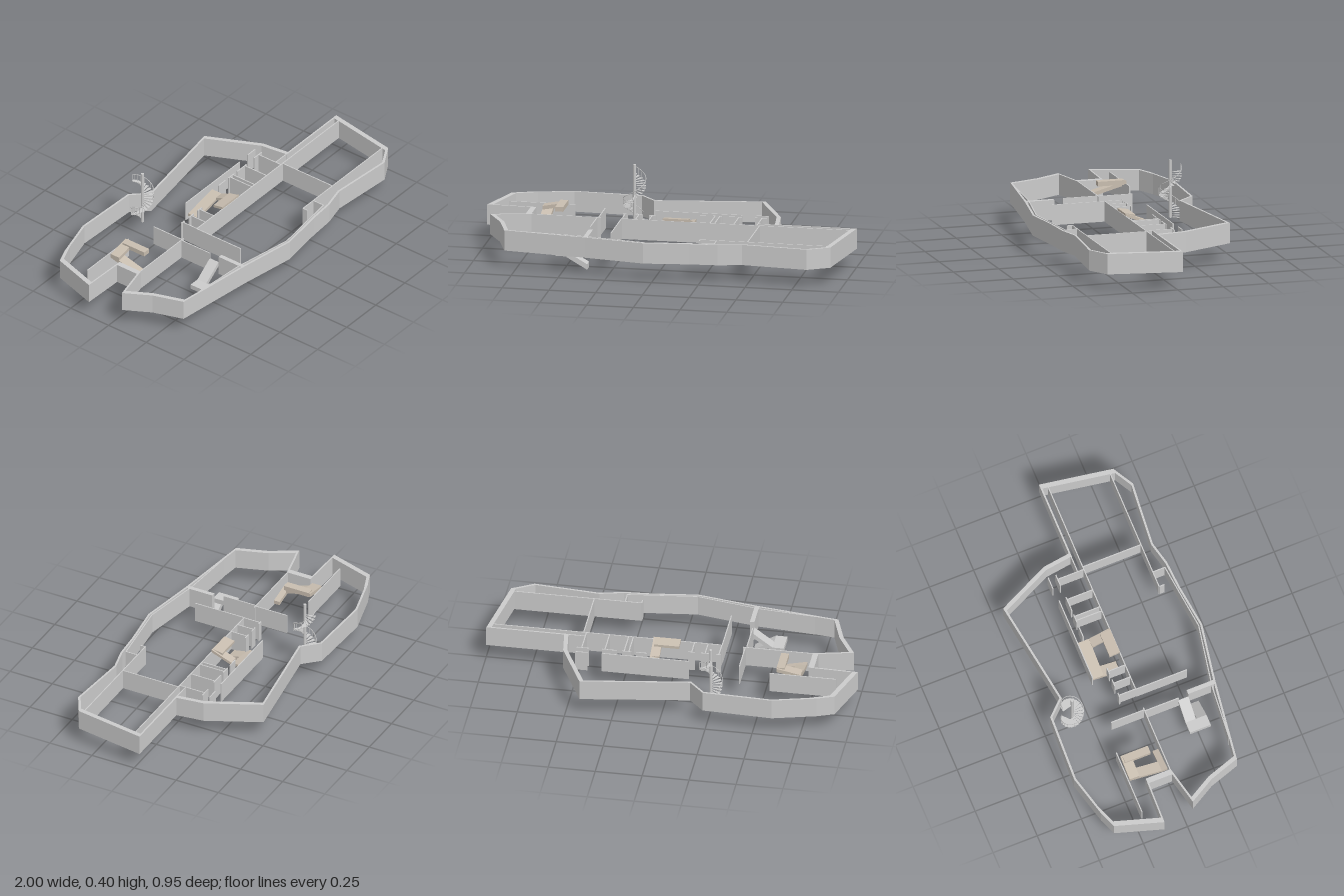
import * as THREE from 'three';

const grey = new THREE.MeshStandardMaterial({ color: 0xcccccc, side: THREE.DoubleSide });
const tan = new THREE.MeshStandardMaterial({ color: 0xc9beb0, side: THREE.DoubleSide });
const Y0 = 0.093, Y1 = 0.203, H = Y1 - Y0;

function mesh(name, geometry, material = grey) {
  const m = new THREE.Mesh(geometry, material);
  m.name = name;
  return m;
}

// Each outline point is [x, z, thickness of the wall that starts there].
const outline = [
  [-1, -0.13, 0.027], [-0.92, -0.385, 0.016], [-0.83, -0.42, 0.011], [-0.6, -0.48, 0.011],
  [-0.23, -0.465, 0.011], [-0.15, -0.38, 0.011], [0.425, -0.465, 0.022], [0.56, -0.18, 0.022],
  [0.58, -0.03, 0.009], [0.995, -0.03, 0.026], [0.93, 0.365, 0.013], [0.815, 0.43, 0.011],
  [0.465, 0.4, 0.011], [0.34, 0.43, 0.011], [0.19, 0.44, 0.011], [-0.05, 0.47, 0.011],
  [-0.37, 0.415, 0.011], [-0.815, 0.355, 0.022], [-0.87, 0.19, 0.022], [-0.95, 0.05, 0.01],
  [-0.767, 0.008, 0.03], [-0.767, -0.123, 0.008],
];

// Inner corners come from intersecting the neighbouring walls' inner lines.
function innerOutline(points) {
  const n = points.length;
  const lines = points.map(([x, z, t], i) => {
    const q = points[(i + 1) % n];
    const d = new THREE.Vector2(q[0] - x, q[1] - z).normalize();
    return { x: x - d.y * t, z: z + d.x * t, d };
  });
  return lines.map((b, i) => {
    const a = lines[(i + n - 1) % n];
    const cross = a.d.x * b.d.y - a.d.y * b.d.x;
    const s = ((b.x - a.x) * b.d.y - (b.z - a.z) * b.d.x) / cross;
    return [a.x + a.d.x * s, a.z + a.d.y * s];
  });
}

function outerWall() {
  const flat = (list) => list.map((p) => new THREE.Vector2(p[0], -p[1]));
  const shape = new THREE.Shape(flat(outline));
  shape.holes.push(new THREE.Path(flat(innerOutline(outline))));
  const g = new THREE.ExtrudeGeometry(shape, { depth: H, bevelEnabled: false });
  return mesh('outerWall', g.rotateX(-Math.PI / 2).translate(0, Y0, 0));
}

// Full-height wall between two plan points.
function partition(x1, z1, x2, z2, t = 0.006) {
  const m = mesh('partition', new THREE.BoxGeometry(Math.hypot(x2 - x1, z2 - z1), H, t));
  m.position.set((x1 + x2) / 2, (Y0 + Y1) / 2, (z1 + z2) / 2);
  m.rotation.y = -Math.atan2(z2 - z1, x2 - x1);
  return m;
}

// Slab over a plan rectangle, its top going from ya to yb along the given axis.
function ramp(name, x1, x2, z1, z2, ya, yb, axis, t, material) {
  const g = new THREE.BoxGeometry(x2 - x1, t, z2 - z1);
  const p = g.attributes.position;
  const len = axis === 'x' ? x2 - x1 : z2 - z1;
  for (let i = 0; i < p.count; i++) {
    const c = axis === 'x' ? p.getX(i) : p.getZ(i);
    p.setY(i, p.getY(i) + (c / len) * (yb - ya));
  }
  g.computeVertexNormals();
  g.translate((x1 + x2) / 2, (ya + yb) / 2 - t / 2, (z1 + z2) / 2);
  return mesh(name, g, material);
}

function spiralStair() {
  const group = new THREE.Group();
  group.name = 'spiralStair';
  const r = 0.06, count = 25, rise = 0.01, step = (Math.PI / 2) * (rise / 0.053);
  const pole = mesh('pole', new THREE.CylinderGeometry(0.008, 0.008, 0.31, 16));
  pole.position.y = 0.245;
  group.add(pole);

  // One wedge tread, pointing along -x.
  const shape = new THREE.Shape();
  shape.moveTo(-0.007, 0.002).lineTo(-r, 0.009).lineTo(-r, -0.009).lineTo(-0.007, -0.002);
  const tread = new THREE.ExtrudeGeometry(shape, { depth: 0.003, bevelEnabled: false }).rotateX(-Math.PI / 2);
  const post = new THREE.CylinderGeometry(0.0009, 0.0009, 0.04, 5).translate(-r, 0.02, 0);
  const railPoints = [];
  for (let i = 0; i < count; i++) {
    const y = Y0 + i * rise, a = ((y - 0.17) / rise) * step;
    for (const [name, g] of [['tread', tread], ['baluster', post]]) {
      const m = mesh(name, g);
      m.position.y = y;
      m.rotation.y = a;
      group.add(m);
    }
    railPoints.push(new THREE.Vector3(-r * Math.cos(a), y + 0.04, r * Math.sin(a)));
  }
  group.add(mesh('handrail', new THREE.TubeGeometry(new THREE.CatmullRomCurve3(railPoints), 100, 0.0018, 6)));
  group.position.set(-0.255, 0, -0.35);
  return group;
}

export function createModel() {
  const model = new THREE.Group();
  model.add(outerWall());

  // Interior walls: x1, z1, x2, z2
  const walls = [
    // long central wall and the walls meeting it
    [-0.74, 0.008, -0.365, 0.008], [-0.25, 0.01, 0.975, 0.01],
    [-0.385, 0.01, -0.385, 0.2], [-0.255, 0.01, -0.255, 0.3],
    [0.483, 0.01, 0.483, 0.34], [-0.378, -0.18, -0.378, 0.01],
    // rear corridor
    [-0.9, -0.218, -0.545, -0.218], [-0.11, -0.176, 0.355, -0.176], [0.43, -0.181, 0.495, -0.181],
    // inner front wall
    [-0.69, 0.362, -0.385, 0.388], [-0.385, 0.388, -0.05, 0.45], [-0.05, 0.45, 0.32, 0.408],
    [0.318, 0.408, 0.318, 0.34], [0.23, 0.34, 0.92, 0.34], [0.23, 0.34, 0.23, 0.37],
    // small rooms
    [0.12, -0.135, 0.18, -0.135], [0.205, -0.135, 0.255, -0.135], [0.28, -0.135, 0.36, -0.135],
    [0.43, -0.138, 0.495, -0.138], [0.218, -0.135, 0.218, 0.01], [0.243, -0.135, 0.243, 0.01],
    [0.345, -0.135, 0.345, 0.01], [0.468, -0.138, 0.468, 0.01], [0.468, -0.025, 0.58, -0.025],
  ];
  walls.forEach((w) => model.add(partition(...w)));
  for (const [x, a, b] of [[-0.253, -0.265, -0.238], [-0.18, -0.2, -0.158], [-0.108, -0.125, -0.088]]) {
    model.add(partition(a, -0.085, b, -0.085), partition(x, -0.085, x, 0.01));
  }

  // Stair hung below the front room
  const entry = new THREE.Group();
  entry.name = 'entryStair';
  entry.add(
    ramp('landing', -0.55, -0.49, 0.197, 0.315, 0.093, 0.093, 'x', 0.026, grey),
    ramp('lowerFlight', -0.49, -0.38, 0.26, 0.315, 0.093, 0.03, 'x', 0.03, grey),
    ramp('upperFlight', -0.49, -0.385, 0.197, 0.255, 0.093, 0.17, 'x', 0.026, grey),
    partition(-0.372, 0.255, -0.372, 0.41, 0.024),
  );
  model.add(entry);

  // Square winding stairs around open wells
  const west = new THREE.Group();
  west.name = 'westWindingStair';
  west.add(
    ramp('flight', -0.71, -0.58, -0.028, 0.005, 0.15, 0.12, 'x', 0.02, tan),
    ramp('flight', -0.71, -0.655, -0.21, -0.028, 0.2, 0.15, 'z', 0.02, tan),
    ramp('flight', -0.71, -0.58, -0.21, -0.155, 0.203, 0.228, 'x', 0.02, tan),
    ramp('flight', -0.622, -0.58, -0.2, -0.055, 0.23, 0.23, 'z', 0.025, tan),
  );
  const centre = new THREE.Group();
  centre.name = 'centreWindingStair';
  centre.add(
    ramp('flight', -0.095, -0.035, -0.17, -0.015, 0.13, 0.1, 'z', 0.015, tan),
    ramp('flight', -0.095, 0.11, -0.17, -0.107, 0.13, 0.17, 'x', 0.015, tan),
    ramp('flight', 0.06, 0.11, -0.107, 0.01, 0.17, 0.215, 'z', 0.015, tan),
    ramp('flight', -0.035, 0.1, -0.048, 0.01, 0.205, 0.215, 'z', 0.015, tan),
  );
  model.add(west, centre, spiralStair());
  return model;
}
